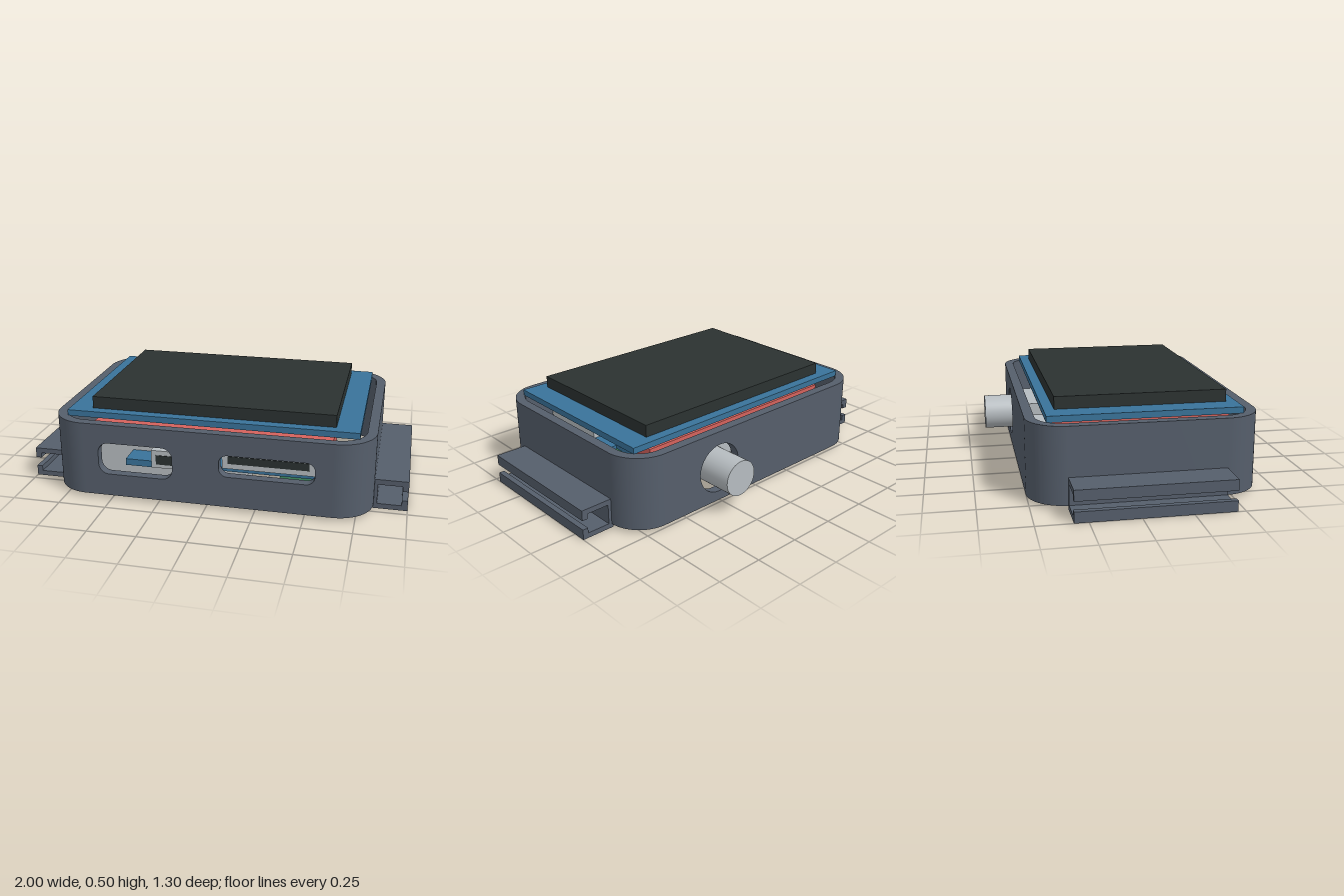
import * as THREE from 'three';
import { toCreasedNormals } from 'three/addons/utils/BufferGeometryUtils.js';

const material = (name, color) => {
  const m = new THREE.MeshStandardMaterial({ color });
  m.name = name;
  return m;
};

export function createModel() {
  const slate = material('slate case', 0x555e6b);
  const blue = material('blue board', 0x39739a);
  const black = material('black screen', 0x2b3231);
  const silver = material('light grey metal', 0xb6bcc0);
  const green = material('green board', 0x34704f);
  const red = material('red board', 0xd4625c);

  const model = new THREE.Group();
  model.name = 'wristDevice';

  const add = (parent, name, geometry, mat) => {
    const mesh = new THREE.Mesh(geometry, mat);
    mesh.name = name;
    parent.add(mesh);
    return mesh;
  };
  // Box given by its limits on each axis
  const box = (parent, name, mat, [x0, x1], [y0, y1], [z0, z1]) =>
    add(parent, name, new THREE.BoxGeometry(x1 - x0, y1 - y0, z1 - z0)
      .translate((x0 + x1) / 2, (y0 + y1) / 2, (z0 + z1) / 2), mat);
  const extrude = (shape, depth) => toCreasedNormals(new THREE.ExtrudeGeometry(shape,
    { depth, bevelEnabled: false, curveSegments: 16 }), 0.5);
  const group = (name) => {
    const g = new THREE.Group();
    g.name = name;
    model.add(g);
    return g;
  };

  // Case: two rounded ends joined by pierced front and back walls
  const caseBody = group('case');
  const bottom = 0.02, top = 0.41, wall = 0.05;
  const half = 0.64, outer = 0.19, inner = outer - wall;
  const front = 0.65, back = -0.505;
  const end = new THREE.Shape();
  end.moveTo(half, -front);
  end.absarc(half, -front + outer, outer, -Math.PI / 2, 0);
  end.absarc(half, -back - outer, outer, 0, Math.PI / 2);
  end.lineTo(half, -back - wall);
  end.absarc(half, -back - outer, inner, Math.PI / 2, 0, true);
  end.absarc(half, -front + outer, inner, 0, -Math.PI / 2, true);
  end.closePath();
  const endGeo = extrude(end, top - bottom).rotateX(-Math.PI / 2).translate(0, bottom, 0);
  add(caseBody, 'leftEnd', endGeo, slate);
  add(caseBody, 'rightEnd', endGeo.clone().rotateY(Math.PI).translate(0, 0, front + back), slate);

  const wallShape = () => new THREE.Shape([
    new THREE.Vector2(-half, bottom), new THREE.Vector2(half, bottom),
    new THREE.Vector2(half, top), new THREE.Vector2(-half, top)]);
  const slot = (x0, x1, y0, y1, r) => {
    const p = new THREE.Path();
    p.absarc(x0 + r, y0 + r, r, Math.PI, Math.PI * 1.5);
    p.absarc(x1 - r, y0 + r, r, -Math.PI / 2, 0);
    p.absarc(x1 - r, y1 - r, r, 0, Math.PI / 2);
    p.absarc(x0 + r, y1 - r, r, Math.PI / 2, Math.PI);
    p.closePath();
    return p;
  };
  const frontShape = wallShape();
  frontShape.holes.push(slot(-0.56, -0.17, 0.14, 0.31, 0.055), slot(0.07, 0.55, 0.185, 0.3, 0.045));
  add(caseBody, 'frontWall', extrude(frontShape, wall).translate(0, 0, front - wall), slate);
  const backShape = wallShape();
  backShape.holes.push(new THREE.Path().absarc(0.275, 0.205, 0.133, 0, Math.PI * 2));
  add(caseBody, 'backWall', extrude(backShape, wall).translate(0, 0, back), slate);

  // Strap lugs: C-shaped rails open to the outside
  const rail = new THREE.Shape([
    [0.82, 0], [1, 0], [1, 0.055], [0.97, 0.055], [0.97, 0.027], [0.847, 0.027],
    [0.847, 0.132], [0.97, 0.132], [0.97, 0.105], [1, 0.105], [1, 0.16], [0.82, 0.16],
  ].map(([x, y]) => new THREE.Vector2(x, y)));
  const railGeo = extrude(rail, 0.78).translate(0, 0, -0.32);
  add(model, 'leftStrapLug', railGeo, slate);
  add(model, 'rightStrapLug', railGeo.clone().rotateY(Math.PI).translate(0, 0, 0.14), slate);

  // Display
  const display = group('display');
  box(display, 'displayBoard', blue, [-0.75, 0.75], [0.408, 0.44], [-0.41, 0.56]);
  box(display, 'screen', black, [-0.63, 0.63], [0.44, 0.503], [-0.358, 0.507]);
  box(display, 'displayBackBoard', red, [-0.62, 0.62], [0.305, 0.375], [-0.37, 0.53]);
  for (let i = 0; i < 3; i++) {
    const x = -0.39 + i * 0.07;
    box(display, 'headerPin', silver, [x, x + 0.025], [0.25, 0.305], [0.48, 0.505]);
  }

  // Battery and charger
  box(model, 'battery', silver, [-0.72, 0.18], [0.055, 0.225], [-0.44, 0.45]);
  box(model, 'chargerBoard', green, [0.35, 0.7], [0.095, 0.125], [-0.03, 0.575]);

  // Charging port
  const port = group('chargingPort');
  box(port, 'portBoard', blue, [-0.44, -0.02], [0.165, 0.2], [0.455, 0.575]);
  box(port, 'portShell', silver, [-0.295, -0.02], [0.175, 0.27], [0.46, 0.597]);
  box(port, 'portOpening', black, [-0.27, -0.045], [0.195, 0.245], [0.596, 0.6]);

  // Card reader
  const reader = group('cardReader');
  box(reader, 'readerBoard', blue, [0.04, 0.59], [0.187, 0.207], [0.05, 0.585]);
  box(reader, 'readerShell', silver, [0.075, 0.55], [0.207, 0.29], [0.2, 0.597]);
  box(reader, 'readerOpening', black, [0.105, 0.515], [0.235, 0.275], [0.596, 0.6]);

  // Rotary knob on its board
  const dial = group('dial');
  box(dial, 'dialBoard', blue, [0.04, 0.51], [0.187, 0.207], [-0.45, 0.05]);
  box(dial, 'dialBody', silver, [0.08, 0.46], [0.207, 0.29], [-0.435, -0.25]);
  add(dial, 'knob', new THREE.CylinderGeometry(0.095, 0.095, 0.225, 40)
    .rotateX(Math.PI / 2).translate(0.275, 0.205, -0.5425), silver);

  return model;
}
